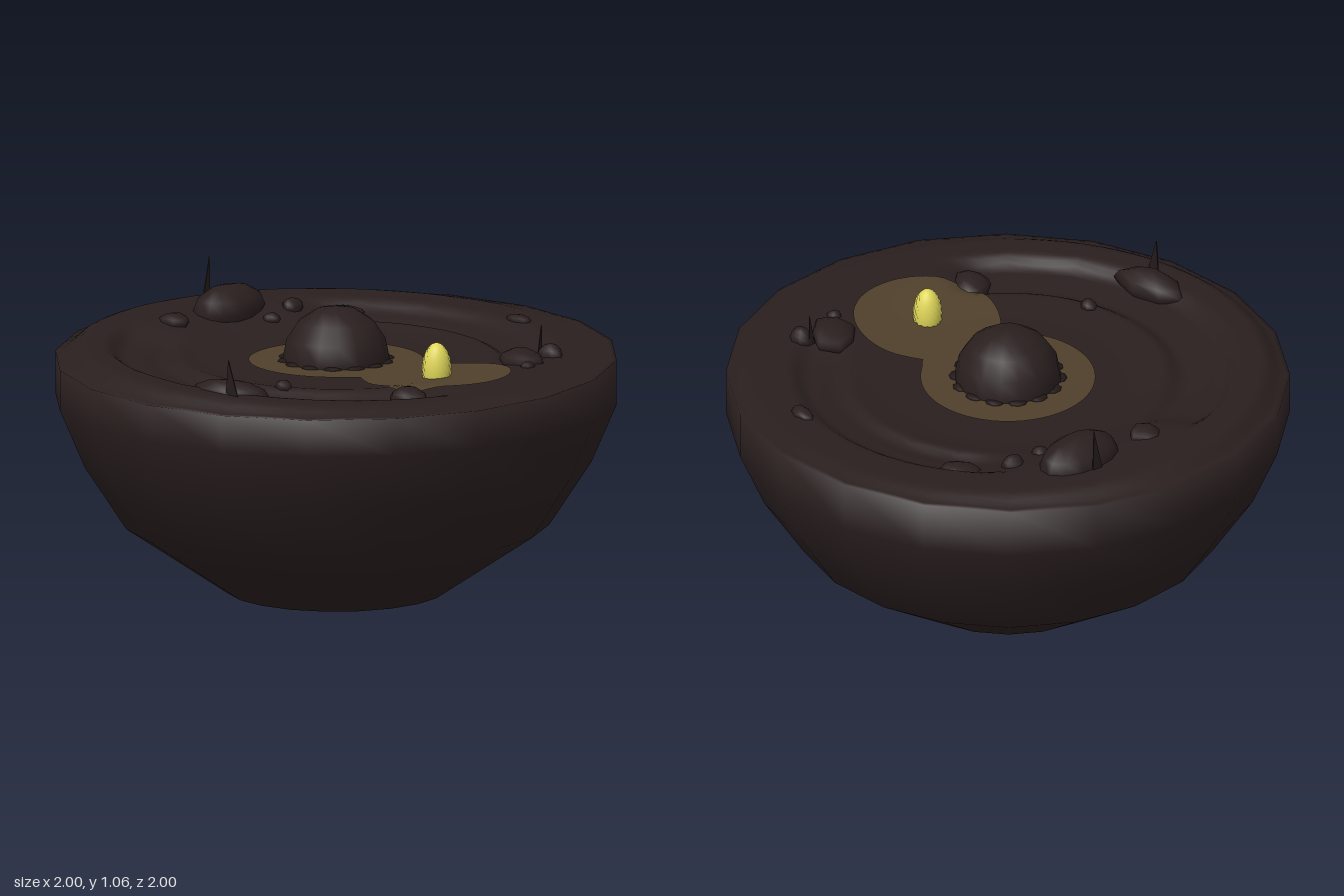
import * as THREE from 'three';
import { mergeVertices } from 'three/addons/utils/BufferGeometryUtils.js';

const mat = (name, color, side = THREE.FrontSide) => {
  const m = new THREE.MeshStandardMaterial({ color, side });
  m.name = name;
  return m;
};
const smooth = THREE.MathUtils.smoothstep;

// Gentle crater ground: sloping rim, sunken flat middle, two curved furrows
function height(x, z) {
  const r = Math.hypot(x, z), s = z / (r || 1);
  const rim = 0.876 - 0.029 * x - 0.005 * z;
  let y = THREE.MathUtils.lerp(0.827, rim, smooth(r, 0.4, 0.76));
  y -= (0.03 - 0.017 * x + 0.018 * z) * smooth(r, 0.9, 0.987);
  const front = smooth(s, 0.25, 0.5), back = smooth(-s, 0.5, 0.75);
  y -= 0.045 * front * smooth(r, 0.55, 0.63) * (1 - smooth(r, 0.75, 0.82));
  y -= 0.035 * back * smooth(r, 0.56, 0.62) * (1 - smooth(r, 0.71, 0.78));
  return y;
}

// Plain welded, smoothly shaded copy of a geometry
function weld(geo) {
  geo.deleteAttribute('uv');
  geo.deleteAttribute('normal');
  return mergeVertices(geo, 1e-5);
}

// Disc draped over the ground, with its outline given by a radius rule
function drapedDisc(cx, radius, lift, rings, segs) {
  const pts = [];
  for (let i = rings; i >= 0; i--) pts.push(new THREE.Vector2(i / rings, 0));
  const g = weld(new THREE.LatheGeometry(pts, segs));
  const p = g.attributes.position;
  for (let i = 0; i < p.count; i++) {
    const k = radius(Math.atan2(p.getZ(i), p.getX(i)));
    const x = cx + p.getX(i) * k, z = p.getZ(i) * k;
    p.setXYZ(i, x, height(x, z) + lift, z);
  }
  g.computeVertexNormals();
  return g;
}

// Shares one outward-and-up normal along the lip so wall and ground blend
function softenLip(g) {
  const p = g.attributes.position, n = new THREE.Vector3();
  for (let i = 0; i < p.count; i++) {
    if (p.getY(i) < 0.75 || Math.hypot(p.getX(i), p.getZ(i)) < 0.986) continue;
    n.set(p.getX(i), 0.8, p.getZ(i)).normalize();
    g.attributes.normal.setXYZ(i, n.x, n.y, n.z);
  }
  return g;
}

// Distance from (px,0) to the edge of a circle centred at (cx,0)
function circleExit(px, cx, r, a) {
  const d = px - cx, b = d * Math.cos(a);
  return -b + Math.sqrt(b * b - d * d + r * r);
}

// Uneven, smoothly shaded stone
function stoneGeometry(seed, sides) {
  const g = weld(new THREE.SphereGeometry(1, sides, 6));
  const p = g.attributes.position, wobble = sides > 10 ? 0.02 : 0.08;
  for (let i = 0; i < p.count; i++) {
    const a = Math.atan2(p.getZ(i), p.getX(i));
    const k = 1 + wobble * (Math.sin(2 * a + seed) + Math.sin(3 * a + seed * 2.3));
    p.setXYZ(i, p.getX(i) * k, p.getY(i), p.getZ(i) * k);
  }
  g.computeVertexNormals();
  return g;
}

// Egg with a finely bristled skin
function budGeometry() {
  const cols = 28, rows = 20;
  const g = weld(new THREE.SphereGeometry(1, cols, rows));
  const p = g.attributes.position;
  for (let i = 0; i < p.count; i++) {
    const x = p.getX(i), y = p.getY(i), z = p.getZ(i);
    const col = Math.round((Math.atan2(z, x) / (2 * Math.PI)) * cols);
    const row = Math.round((Math.acos(THREE.MathUtils.clamp(y, -1, 1)) / Math.PI) * rows);
    const k = (col + row) % 2 === 0 ? 0.053 : 0.048;
    p.setXYZ(i, x * k, y * 0.095, z * k);
  }
  g.computeVertexNormals();
  return g;
}

export function createModel() {
  const group = new THREE.Group();
  const earth = mat('dark earth', 0x2a1f1f);
  const shade = mat('dark crust', 0x221818);
  const blade = mat('dark shard', 0x241a1a, THREE.DoubleSide);
  const stain = mat('ochre stain', 0x4f402b);
  const yellow = mat('yellow', 0xdfd65a);
  const add = (name, geo, material, x = 0, y = 0, z = 0) => {
    const m = new THREE.Mesh(geo, material);
    m.name = name;
    m.position.set(x, y, z);
    group.add(m);
    return m;
  };

  // Twenty-sided bowl with a softly shaded flat base
  const profile = [[0, 0], [0.39, 0], [0.76, 0.25], [0.91, 0.48], [1, 0.69], [1, 0.85]];
  const wall = new THREE.LatheGeometry(profile.map(([x, y]) => new THREE.Vector2(x, y)), 20);
  const wp = wall.attributes.position;
  for (let i = 0; i < wp.count; i++) {
    if (wp.getY(i) > 0.8) wp.setY(i, height(wp.getX(i), wp.getZ(i)) + 0.001);
  }
  add('bowl', softenLip(wall), earth);

  // Ground inside, meeting the wall's polygon edge
  const step = Math.PI / 10;
  const polygon = (a) => {
    const t = (a + 4 * Math.PI) % step;
    return Math.cos(step / 2) / Math.cos(t - step / 2);
  };
  add('ground', softenLip(drapedDisc(0, polygon, 0, 56, 100)), earth);

  // Two joined round stains with a softened neck
  const px = 0.25;
  const outline = (a) => {
    const r1 = circleExit(px, 0, 0.31, a), r2 = circleExit(px, 0.485, 0.26, a);
    return Math.max(r1, r2) + 0.022 * Math.exp(-(((r1 - r2) / 0.08) ** 2));
  };
  add('stain', drapedDisc(px, outline, 0.005, 24, 96), stain);

  // Central dome with a low scalloped crust at its foot
  add('dome', new THREE.SphereGeometry(0.19, 16, 8), earth, 0, 0.836, 0);
  for (let i = 0; i < 14; i++) {
    const a = (i / 14) * Math.PI * 2;
    const lobe = add('domeCrust', new THREE.SphereGeometry(1, 8, 6), shade,
      0.18 * Math.cos(a), 0.832, 0.18 * Math.sin(a));
    lobe.scale.set(0.03, 0.01, 0.036);
    lobe.rotation.y = -a;
  }

  // Bristly yellow bud
  add('bud', budGeometry(), yellow, 0.48, 0.865, 0);

  // Stones: x, z, half width, half depth, height above ground, turn, sides
  const stones = [
    [-0.68, -0.19, 0.108, 0.17, 0.085, 0.12, 14], [-0.56, -0.39, 0.036, 0.046, 0.035, 0.3, 8],
    [-0.53, -0.25, 0.03, 0.03, 0.025, 0, 8], [-0.68, 0.1, 0.062, 0.058, 0.03, 0.4, 7],
    [0.57, -0.35, 0.11, 0.085, 0.04, -0.4, 7], [0.61, -0.46, 0.044, 0.042, 0.045, 0, 8],
    [0.67, -0.27, 0.025, 0.025, 0.02, 0, 8], [0.6, 0.28, 0.088, 0.065, 0.045, -0.2, 9],
    [0.21, 0.51, 0.034, 0.03, 0.025, 0, 7], [0.18, 0.765, 0.145, 0.075, 0.06, 0.2, 7],
    [-0.45, -0.54, 0.08, 0.05, 0.025, 0.5, 9], [0.17, -0.78, 0.058, 0.032, 0.02, 0, 8],
  ];
  stones.forEach(([x, z, w, d, h, turn, sides], i) => {
    const s = add('stone', stoneGeometry(i * 1.7, sides), earth, x, height(x, z), z);
    s.scale.set(w, h, d);
    s.rotation.y = turn;
  });

  // Thin upright shards: x, z, tip height, base width, turn
  const shards = [[-0.79, -0.18, 1.06, 0.06, Math.PI / 2], [0.25, 0.82, 0.99, 0.075, 0],
    [0.57, -0.44, 0.965, 0.03, Math.PI / 2]];
  for (const [x, z, tip, w, turn] of shards) {
    const tri = new THREE.Shape([new THREE.Vector2(-w / 2, 0.82), new THREE.Vector2(w / 2, 0.82),
      new THREE.Vector2(turn ? w * 0.4 : -w * 0.3, tip)]);
    const g = new THREE.ExtrudeGeometry(tri, { depth: 0.004, bevelEnabled: false });
    add('shard', g, blade, x, 0, z).rotation.y = turn;
  }
  return group;
}
